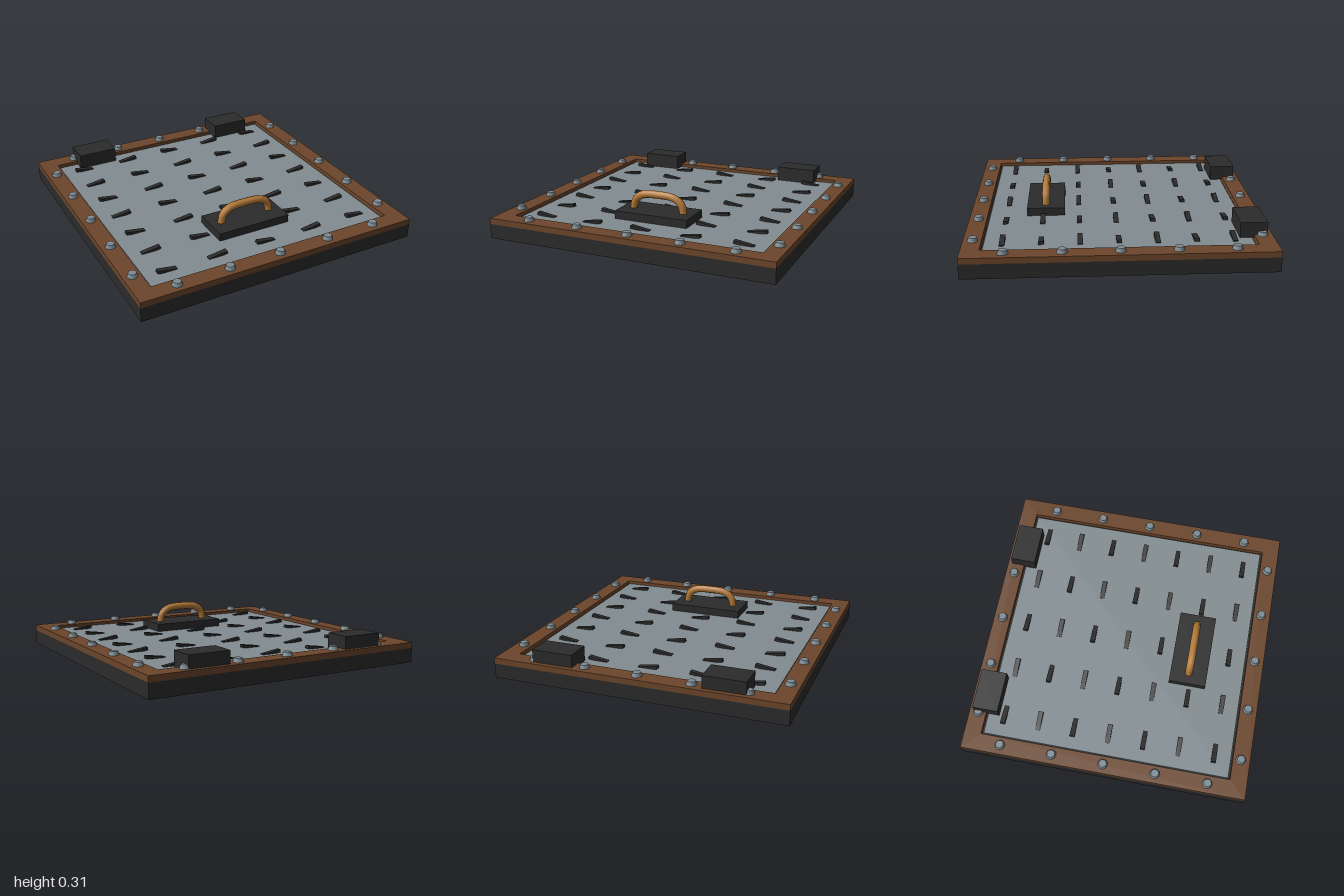
import * as THREE from 'three';

const mat = (name, color) => {
  const m = new THREE.MeshStandardMaterial({ color });
  m.name = name;
  return m;
};

export function createModel() {
  const iron = mat('dark iron', 0x2b2b2b);
  const rust = mat('rusty brown', 0x6b452a);
  const steel = mat('grey steel', 0x828c90);
  const boltSteel = mat('bolt steel', 0x7c8b93);
  const brass = mat('brass', 0xb57a38);

  const model = new THREE.Group();
  model.name = 'floorHatch';

  const add = (name, geometry, material, x = 0, y = 0, z = 0) => {
    const mesh = new THREE.Mesh(geometry, material);
    mesh.name = name;
    mesh.position.set(x, y, z);
    model.add(mesh);
    return mesh;
  };
  // Box placed by its bottom height
  const box = (name, material, w, h, d, x, bottom, z) =>
    add(name, new THREE.BoxGeometry(w, h, d), material, x, bottom + h / 2, z);

  // Base slab and the steel door plate, with a dark gap around it
  box('base', iron, 2, 0.1, 2, 0, 0, 0);
  box('doorPlate', steel, 1.735, 0.02, 1.735, 0, 0.1, 0);

  // Raised square rim
  const square = (Type, s) => new Type([[-s, -s], [s, -s], [s, s], [-s, s]].map(p => new THREE.Vector2(...p)));
  const rim = square(THREE.Shape, 1);
  rim.holes.push(square(THREE.Path, 0.88));
  const rimGeometry = new THREE.ExtrudeGeometry(rim, { depth: 0.04, bevelEnabled: false });
  rimGeometry.rotateX(-Math.PI / 2);
  add('rim', rimGeometry, rust, 0, 0.1, 0);

  // Bolts along all four sides of the rim
  const boltGeometry = new THREE.CylinderGeometry(0.027, 0.036, 0.027, 10);
  for (const along of [-0.73, -0.365, 0, 0.365, 0.73]) {
    for (const side of [-0.935, 0.935]) {
      add('bolt', boltGeometry, boltSteel, along, 0.1525, side);
      add('bolt', boltGeometry, boltSteel, side, 0.1525, along);
    }
  }

  // Grip treads, tilted alternately
  const treadGeometry = new THREE.BoxGeometry(0.134, 0.02, 0.034);
  for (let row = 0; row < 7; row++) {
    for (let col = 0; col < 5; col++) {
      const tread = add('tread', treadGeometry, iron, (col - 2) * 0.357, 0.125, (row - 3) * 0.25);
      tread.rotation.z = (row + col) % 2 ? 0.15 : -0.15;
    }
  }

  // Hinge blocks at the back
  for (const side of [-1, 1]) {
    box(side > 0 ? 'leftHinge' : 'rightHinge', iron, 0.285, 0.105, 0.18, side * 0.583, 0.12, -0.878);
  }

  // Handle mount and arched grip
  box('handleMount', iron, 0.53, 0.055, 0.262, 0, 0.12, 0.48);
  const half = [[-0.185, 0.165], [-0.171, 0.23], [-0.12, 0.27]];
  const points = [...half, [0, 0.281], ...half.map(([x, y]) => [-x, y]).reverse()];
  const path = new THREE.CatmullRomCurve3(points.map(([x, y]) => new THREE.Vector3(x, y, 0)));
  add('handle', new THREE.TubeGeometry(path, 20, 0.027, 8), brass, 0, 0, 0.48);

  return model;
}
